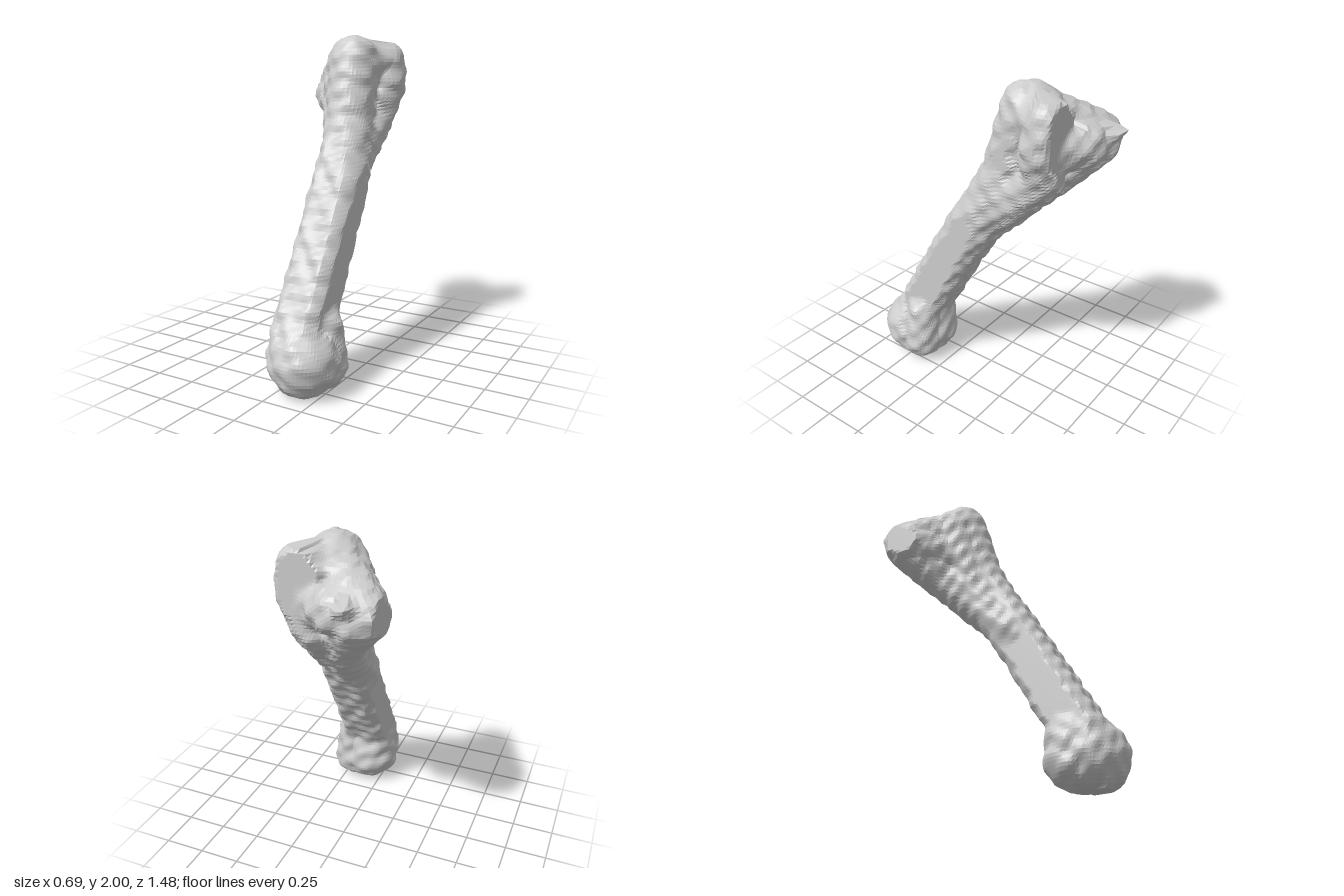
import * as THREE from 'three';

// Tapered limbs: start x,y,z,radius, end x,y,z,radius
const shaft = [
  [0.09, 0.3, 0.5, 0.175, 0.09, 0.8, 0.22, 0.17],
  [0.09, 0.8, 0.22, 0.17, 0.08, 1.1, 0.04, 0.17],
  [0.08, 1.1, 0.04, 0.17, 0.05, 1.4, -0.13, 0.15],
];
const knuckles = [
  [0.14, 0.185, 0.54, 0.2, 0.12, 0.19, 0.53, 0.2],
  [0.09, 0.18, 0.45, 0.18, 0.09, 0.28, 0.46, 0.17],
  [0.2, 0.14, 0.43, 0.135, 0.195, 0.36, 0.41, 0.105],
  [0.02, 0.14, 0.46, 0.11, 0.01, 0.26, 0.45, 0.1],
];
const ridges = [
  [0.05, 1.3, -0.1, 0.145, 0.015, 1.845, -0.26, 0.155],
  [0.0, 1.4, -0.18, 0.14, -0.045, 1.78, -0.29, 0.15],
  [0.04, 1.0, 0.1, 0.13, 0.01, 1.42, -0.29, 0.13],
];
const leftHead = [
  [0.08, 1.25, -0.15, 0.12, 0.09, 1.5, -0.41, 0.12],
  [0.09, 1.5, -0.41, 0.12, 0.145, 1.7, -0.44, 0.13],
  [0.145, 1.7, -0.44, 0.13, 0.125, 1.84, -0.46, 0.13],
  [0.03, 1.82, -0.32, 0.14, 0.1, 1.82, -0.43, 0.14],
];
const rightLobe = [
  [0.03, 1.2, -0.08, 0.13, -0.05, 1.42, -0.32, 0.13],
  [-0.05, 1.42, -0.32, 0.13, -0.22, 1.65, -0.53, 0.15],
  [0.0, 1.82, -0.3, 0.145, -0.23, 1.68, -0.52, 0.145],
  [0.0, 1.55, -0.25, 0.15, -0.25, 1.64, -0.48, 0.13],
  [-0.27, 1.67, -0.54, 0.13, -0.11, 1.67, -0.53, 0.14],
  [-0.11, 1.67, -0.53, 0.14, 0.02, 1.66, -0.43, 0.14],
  [-0.2, 1.71, -0.6, 0.09, -0.21, 1.75, -0.7, 0.035],
];
// Line the cross-sections are cast from: y, x, z
const core = [
  [0, 0.13, 0.5], [0.2, 0.12, 0.5], [0.45, 0.1, 0.41], [1, 0.09, 0.1], [1.3, 0.06, -0.12],
  [1.6, 0, -0.36], [1.8, 0, -0.37], [2, 0.015, -0.26],
];

// Distance to one tapered limb
function limb(x, y, z, [ax, ay, az, ar, bx, by, bz, br]) {
  const dx = bx - ax, dy = by - ay, dz = bz - az;
  const along = ((x - ax) * dx + (y - ay) * dy + (z - az) * dz) / (dx * dx + dy * dy + dz * dz);
  const t = THREE.MathUtils.clamp(along, 0, 1);
  return Math.hypot(x - ax - t * dx, y - ay - t * dy, z - az - t * dz) - ar - t * (br - ar);
}

function blend(a, b, k = 0.035) {
  const h = Math.max(k - Math.abs(a - b), 0) / k;
  return Math.min(a, b) - h * h * k * 0.25;
}

// Whole bone, with the flattened sides of shaft and head
function bone(x, y, z) {
  // Worn, pitted surface
  const pits = 0.007 * Math.sin(y * 50 + x * 14) * Math.sin(z * 34 + x * 21)
    + 0.004 * Math.sin(x * 52 + z * 17) * Math.sin(y * 31 - z * 43);
  const nearest = (limbs) => Math.min(...limbs.map((l) => limb(x, y, z, l))) + pits;
  // The shaft is boxy: flat sides, and a sloping front and back
  const slab = Math.abs(z - 0.22 + 0.58 * (y - 0.8)) * 0.865 - 0.143 + pits;
  let d = Math.max(nearest(shaft), slab, x - 0.235, -0.055 - x);
  d = blend(d, nearest(knuckles));
  d = blend(d, Math.max(nearest(ridges), x - 0.175));
  d = blend(d, Math.max(nearest(leftHead), x - 0.27, -0.53 - z, y - 1.96));
  return blend(d, Math.max(nearest(rightLobe), -0.345 - x));
}

function corePoint(y) {
  let i = 0;
  while (i < core.length - 2 && y > core[i + 1][0]) i++;
  const [a, b] = [core[i], core[i + 1]];
  const t = (y - a[0]) / (b[0] - a[0]);
  return [a[1] + t * (b[1] - a[1]), a[2] + t * (b[2] - a[2])];
}

// Distance from the core line to the surface in one direction
function reach(cx, y, cz, angle) {
  const c = Math.cos(angle), s = Math.sin(angle);
  const at = (r) => bone(cx + r * c, y, cz + r * s);
  let r = 0.005;
  while (r < 0.6 && at(r) < 0) r += 0.015;
  let lo = Math.max(r - 0.015, 0.002), hi = r;
  for (let i = 0; i < 8; i++) {
    const mid = (lo + hi) / 2;
    if (at(mid) < 0) lo = mid; else hi = mid;
  }
  return lo;
}

// Horizontal cross-sections joined into one closed skin
function boneGeometry(rows = 100, sides = 80) {
  const positions = [], index = [];
  for (let i = 0; i <= rows; i++) {
    const y = 0.004 + (i / rows) * 1.99;
    const [cx, cz] = corePoint(y);
    for (let j = 0; j < sides; j++) {
      const angle = (j / sides) * Math.PI * 2;
      const r = reach(cx, y, cz, angle);
      positions.push(cx + r * Math.cos(angle), y, cz + r * Math.sin(angle));
    }
  }
  for (let i = 0; i < rows; i++) {
    for (let j = 0; j < sides; j++) {
      const a = i * sides + j, b = i * sides + ((j + 1) % sides);
      index.push(a, a + sides, b, b, a + sides, b + sides);
    }
  }
  // End caps
  const bottom = positions.length / 3, top = bottom + 1, last = rows * sides;
  const [bx, bz] = corePoint(0), [tx, tz] = corePoint(2);
  positions.push(bx, 0, bz, tx, 2, tz);
  for (let j = 0; j < sides; j++) {
    const k = (j + 1) % sides;
    index.push(bottom, j, k, top, last + k, last + j);
  }
  const geometry = new THREE.BufferGeometry();
  geometry.setAttribute('position', new THREE.Float32BufferAttribute(positions, 3));
  geometry.setIndex(index);
  geometry.computeVertexNormals();
  return geometry;
}

export function createModel() {
  const group = new THREE.Group();
  group.name = 'legBone';
  const material = new THREE.MeshStandardMaterial({ color: 0xcccccc, flatShading: true });
  const mesh = new THREE.Mesh(boneGeometry(), material);
  mesh.name = 'bone';
  group.add(mesh);
  return group;
}
